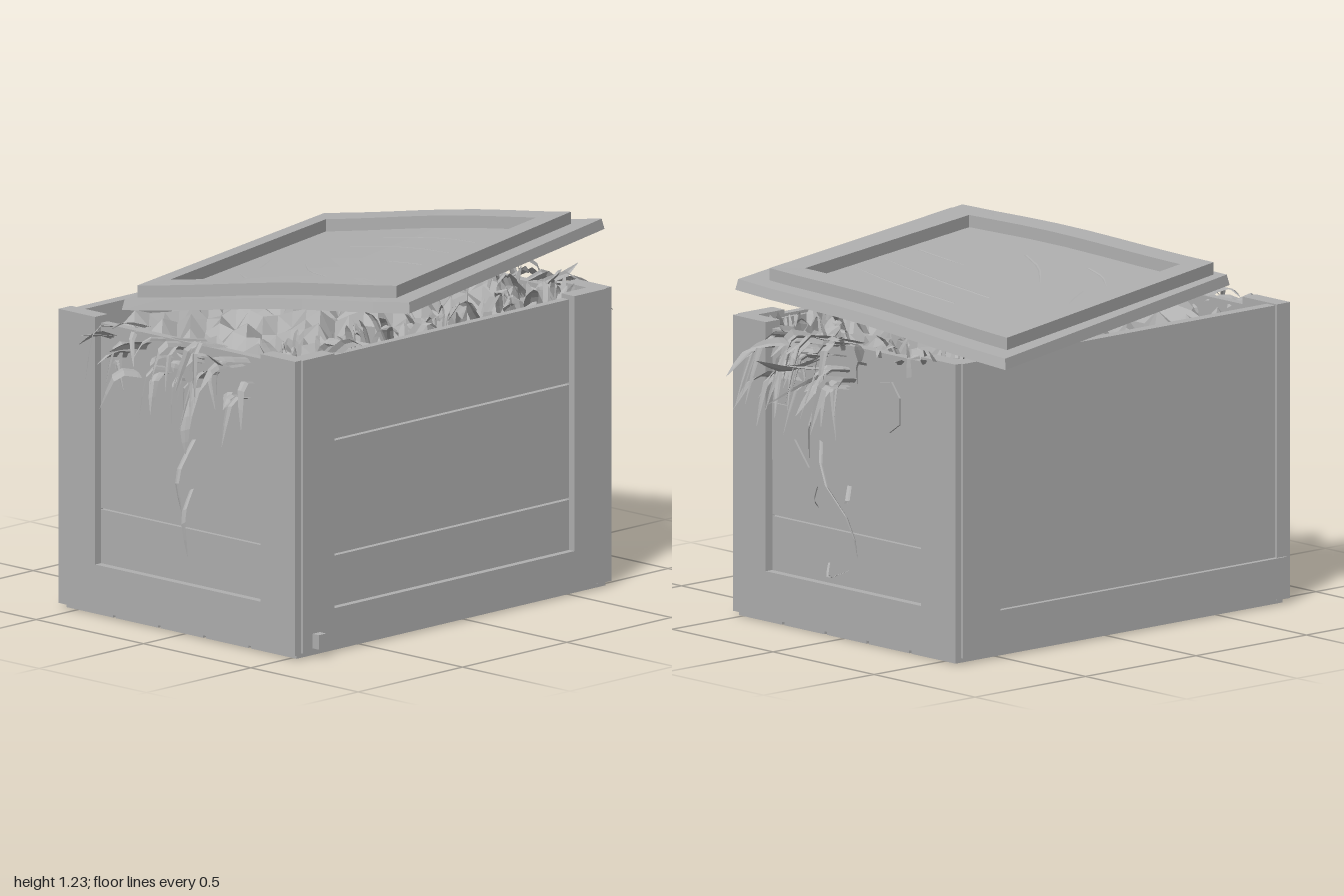
import * as THREE from 'three';
import { mergeGeometries } from 'three/addons/utils/BufferGeometryUtils.js';

const grey = new THREE.MeshStandardMaterial({ color: 0xb0b0b0 });
grey.name = 'plain grey';
const greyThin = grey.clone();
greyThin.side = THREE.DoubleSide;

let seed = 7;
const rnd = (a = 0, b = 1) => {
  seed = (seed * 16807) % 2147483647;
  return a + (b - a) * (seed / 2147483647);
};

const add = (parent, name, geo, mat = grey) => {
  const m = new THREE.Mesh(geo, mat);
  m.name = name;
  parent.add(m);
  return m;
};

// Box given by its limits on each axis
const block = (parent, name, [x0, x1], [y0, y1], [z0, z1]) => {
  const m = add(parent, name, new THREE.BoxGeometry(x1 - x0, y1 - y0, z1 - z0));
  m.position.set((x0 + x1) / 2, (y0 + y1) / 2, (z0 + z1) / 2);
  return m;
};

const flat = (geo) => {
  const g = geo.index ? geo.toNonIndexed() : geo;
  g.computeVertexNormals();
  return g;
};

// Tapered, creased straw blade along a curve
function blade(points, width, side = null, crease = 0.3) {
  const curve = new THREE.CatmullRomCurve3(points.map((p) => new THREE.Vector3(...p)));
  const across = side ? new THREE.Vector3(...side)
    : new THREE.Vector3(rnd(-0.6, 0.6), rnd(-0.6, 0.6), rnd(0.3, 1));
  across.normalize();
  const n = 5, pos = [], index = [];
  for (let i = 0; i <= n; i++) {
    const t = i / n, c = curve.getPoint(t), tan = curve.getTangent(t);
    const w = width * Math.pow(1 - t, 0.8) * (0.55 + 0.9 * t) + 0.001;
    const up = new THREE.Vector3().crossVectors(tan, across).normalize();
    for (const s of [-1, 0, 1]) {
      const p = c.clone().addScaledVector(across, s * w).addScaledVector(up, s ? 0 : w * crease);
      pos.push(p.x, p.y, p.z);
    }
    if (i < n) for (const s of [0, 1]) {
      const a = i * 3 + s, b = a + 3;
      index.push(a, a + 1, b, a + 1, b + 1, b);
    }
  }
  const g = new THREE.BufferGeometry();
  g.setAttribute('position', new THREE.Float32BufferAttribute(pos, 3));
  g.setIndex(index);
  return flat(g);
}

// Underside height of the tilted, slightly warped lid
function lidHeight(x, z) {
  const t = THREE.MathUtils.clamp((0.28 * x + 0.96 * z + 0.53) / 1.09, 0, 1);
  return 1.035 + 0.14 * t - 0.022 * x * (1 - t) + 0.012 * Math.sin(Math.PI * 2 * (t - 0.2)) * t;
}

// Slab over four corners (back left, back right, front right, front left in x), following the lid
function lidSlab(c, h0, h1, bevel = 0) {
  const g = new THREE.BoxGeometry(1, 1, 1, 8, 1, 8);
  const p = g.attributes.position;
  const mid = [0, 1].map((k) => (c[0][k] + c[1][k] + c[2][k] + c[3][k]) / 4);
  for (let i = 0; i < p.count; i++) {
    const u = p.getX(i) + 0.5, v = p.getZ(i) + 0.5, top = p.getY(i) > 0;
    const [x, z] = [0, 1].map((k) => {
      const q = (c[0][k] * (1 - u) + c[1][k] * u) * (1 - v) + (c[3][k] * (1 - u) + c[2][k] * u) * v;
      return top ? q + (mid[k] - q) * bevel : q;
    });
    p.setXYZ(i, x, lidHeight(x, z) + (top ? h1 : h0), z);
  }
  return flat(g);
}

function buildBox() {
  const box = new THREE.Group();
  box.name = 'box';
  const top = 1.025;
  // Front: boards with cracks between, set behind the frame
  block(box, 'frontBacking', [-0.78, 0.65], [0.04, 1.0], [0.47, 0.495]);
  for (const y of [[0.14, 0.322], [0.33, 0.717], [0.725, 1.01]])
    block(box, 'frontBoard', [-0.65, 0.52], y, [0.485, 0.515]);
  block(box, 'frontPost', [-0.792, -0.64], [0.02, top], [0.48, 0.54]);
  block(box, 'frontPost', [0.51, 0.665], [0.02, top], [0.48, 0.54]);
  block(box, 'frontRail', [-0.64, 0.51], [0.02, 0.15], [0.48, 0.54]);
  // Back: one post, bottom rail and a wide panel
  block(box, 'backPanel', [-0.8, 0.52], [0.03, 1.02], [-0.56, -0.52]);
  block(box, 'backPost', [0.5, 0.67], [0.02, top], [-0.58, -0.52]);
  block(box, 'backRail', [-0.8, 0.5], [0.02, 0.16], [-0.578, -0.52]);
  // Both ends: panel, two posts and a bottom rail
  for (const [outer, inner, deep] of [[0.695, 0.665, 0.63], [-0.82, -0.792, -0.76]]) {
    const span = (a, b) => [Math.min(a, b), Math.max(a, b)];
    block(box, 'endPanelLower', span(inner, deep), [0.03, 0.36], [-0.52, 0.48]);
    block(box, 'endPanelUpper', span(inner, deep), [0.365, 1.0], [-0.52, 0.48]);
    block(box, 'endPost', span(outer, deep), [0.015, top], [0.37, 0.532]);
    block(box, 'endPost', span(outer, deep), [0.015, top], [-0.57, -0.4]);
    block(box, 'endRail', span(outer, deep), [0.015, 0.175], [-0.4, 0.37]);
  }
  // Floor planks
  const cuts = [-0.56, -0.33, -0.12, 0.09, 0.3, 0.525];
  for (let i = 0; i < 5; i++)
    block(box, 'floorPlank', [-0.8, 0.68], [0, 0.03], [cuts[i] + 0.006, cuts[i + 1] - 0.006]);
  block(box, 'floorBacking', [-0.79, 0.66], [0.015, 0.04], [-0.55, 0.5]);
  block(box, 'cornerPeg', [-0.745, -0.71], [0.03, 0.08], [0.53, 0.57]);
  // Splintered pieces on the end wall
  const piece = (name, pts) => {
    const s = new THREE.Shape(pts.map(([z, y]) => new THREE.Vector2(-z, y)));
    const g = new THREE.ExtrudeGeometry(s, { depth: 0.008, bevelEnabled: false });
    g.rotateY(Math.PI / 2);
    add(box, name, g).position.x = 0.668;
  };
  piece('brokenPatch', [[0.36, 0.555], [0.18, 0.555], [0.25, 0.64], [0.29, 0.75], [0.36, 0.75]]);
  piece('looseFlap', [[-0.17, 0.9], [-0.23, 0.91], [-0.27, 0.86], [-0.27, 0.77], [-0.22, 0.735], [-0.17, 0.76]])
  return box;
}

function buildLid() {
  const lid = new THREE.Group();
  lid.name = 'lid';
  const plate = [[-0.77, -0.325], [0.62, -0.735], [0.86, 0.34], [-0.47, 0.725]];
  const outer = [[-0.72, -0.3], [0.54, -0.655], [0.755, 0.285], [-0.42, 0.615]];
  const inner = [[-0.6, -0.265], [0.445, -0.555], [0.64, 0.235], [-0.345, 0.5]];
  add(lid, 'lidPlate', lidSlab(plate, 0, 0.036, 0.012));
  // Raised border around the sunken middle
  const [a, b, c, d] = outer, [e, f, g, h] = inner;
  for (const q of [[a, b, f, e], [f, b, c, g], [h, g, c, d], [a, e, h, d]])
    add(lid, 'lidBorder', lidSlab(q, 0.03, 0.078));
  // Long scratches and splinters on the lid
  const marks = [
    [[0.2, -0.2], [0.23, 0.05], [0.2, 0.35]], [[0.36, -0.2], [0.395, 0.05], [0.37, 0.3]],
    [[-0.26, 0.13], [-0.2, 0], [-0.09, -0.13]], [[-0.36, -0.07], [-0.34, -0.16], [-0.28, -0.25]],
    [[-0.17, -0.26], [-0.1, -0.3], [-0.02, -0.35]], [[0.02, 0.35], [0.025, 0.25], [0.02, 0.13]],
  ];
  const slivers = marks.map((m) => blade(m.map(([x, z]) => [x, lidHeight(x, z) + 0.039, z]), 0.008, [1, 0, 0.3], 0.2));
  add(lid, 'lidScratches', mergeGeometries(slivers), greyThin);
  return lid;
}

function buildStraw() {
  const straw = new THREE.Group();
  straw.name = 'straw';
  // Crumpled packing filling the box
  const fill = new THREE.PlaneGeometry(1.42, 1.03, 20, 16).rotateX(-Math.PI / 2);
  const p = fill.attributes.position;
  for (let i = 0; i < p.count; i++)
    p.setXYZ(i, p.getX(i) - 0.06, 0.95 + rnd(-0.06, 0.05), p.getZ(i) - 0.02);
  add(straw, 'packing', flat(fill), greyThin);

  // Blades spilling over each end
  const spill = (name, count, x, dir, reach, [z0, z1], fall) => {
    const list = [];
    for (let i = 0; i < count; i++) {
      const y = rnd(0.84, 1.01), z = rnd(z0, z1), r = rnd(0.2, 1) * reach;
      const drop = rnd(-0.04, fall), dz = rnd(-0.1, 0.1);
      list.push(blade([[x - dir * 0.05, y, z], [x + dir * r * 0.6, Math.min(y + 0.02, 1.03), z + dz * 0.5],
        [x + dir * r, Math.min(y - drop, 1.05), z + dz]], rnd(0.012, 0.034)));
    }
    add(straw, name, mergeGeometries(list), greyThin);
  };
  spill('rightSpill', 48, 0.68, 1, 0.24, [-0.04, 0.3], 0.2);
  spill('leftSpill', 38, -0.8, -1, 0.14, [-0.36, 0.32], 0.18);

  // Tufts along the rim
  const tufts = [];
  for (let i = 0; i < 90; i++) {
    const front = i % 3 > 0;
    const x = front ? rnd(-0.72, 0.62) : rnd(0.56, 0.66), z = front ? rnd(0.3, 0.46) : rnd(-0.5, 0.45);
    const dx = rnd(-0.1, 0.1), dz = rnd(-0.08, 0.06);
    tufts.push(blade([[x, 0.94, z], [x + dx * 0.6, rnd(0.99, 1.04), z + dz * 0.6],
      [x + dx, rnd(0.99, 1.06), z + dz]], rnd(0.015, 0.04)));
  }
  add(straw, 'rimTufts', mergeGeometries(tufts), greyThin);

  // Longest single blades and hanging strands
  const strands = [
    [[0.66, 0.95, 0.1], [0.85, 0.93, 0.09], [1, 0.98, 0.08]],
    [[0.66, 0.9, 0.08], [0.8, 0.86, 0.1], [0.92, 0.8, 0.14]],
    [[0.68, 0.85, 0.06], [0.78, 0.75, 0.06], [0.79, 0.62, 0.05]],
    [[0.67, 0.95, -0.1], [0.77, 0.97, -0.16], [0.8, 0.9, -0.2]],
    [[-0.76, 0.96, 0.25], [-0.9, 0.98, 0.28], [-1, 1.04, 0.3]],
    [[-0.76, 0.95, 0.18], [-0.88, 0.96, 0.21], [-0.98, 0.9, 0.24]],
    [[-0.77, 0.95, -0.33], [-0.85, 0.98, -0.36], [-0.92, 0.95, -0.38]],
    [[-0.8, 0.85, 0.05], [-0.86, 0.74, 0.06], [-0.87, 0.64, 0.07]],
    [[-0.6, 0.97, 0.45], [-0.57, 1.05, 0.54], [-0.55, 1.04, 0.59]],
  ].map((s) => blade(s, 0.03));
  const thin = [
    [[0.69, 0.66, 0.1], [0.73, 0.55, 0.05], [0.72, 0.4, -0.08], [0.7, 0.29, -0.09]],
    [[0.69, 0.5, 0.12], [0.74, 0.47, 0.08], [0.69, 0.43, 0.11]],
    [[0.69, 0.53, -0.04], [0.73, 0.48, -0.07], [0.69, 0.47, -0.02]],
    [[0.68, 0.25, 0.07], [0.72, 0.21, 0.03], [0.69, 0.24, -0.04]],
    [[-0.82, 0.68, 0.06], [-0.91, 0.57, 0.07], [-0.9, 0.45, 0.08]],
    [[-0.8, 0.5, 0.03], [-0.85, 0.42, 0.04], [-0.84, 0.28, 0.05]],
  ].map((s) => blade(s, 0.013));
  add(straw, 'longBlades', mergeGeometries([...strands, ...thin]), greyThin);
  return straw;
}

export function createModel() {
  seed = 7;
  const model = new THREE.Group();
  model.name = 'packingCrate';
  model.add(buildBox(), buildLid(), buildStraw());
  return model;
}
